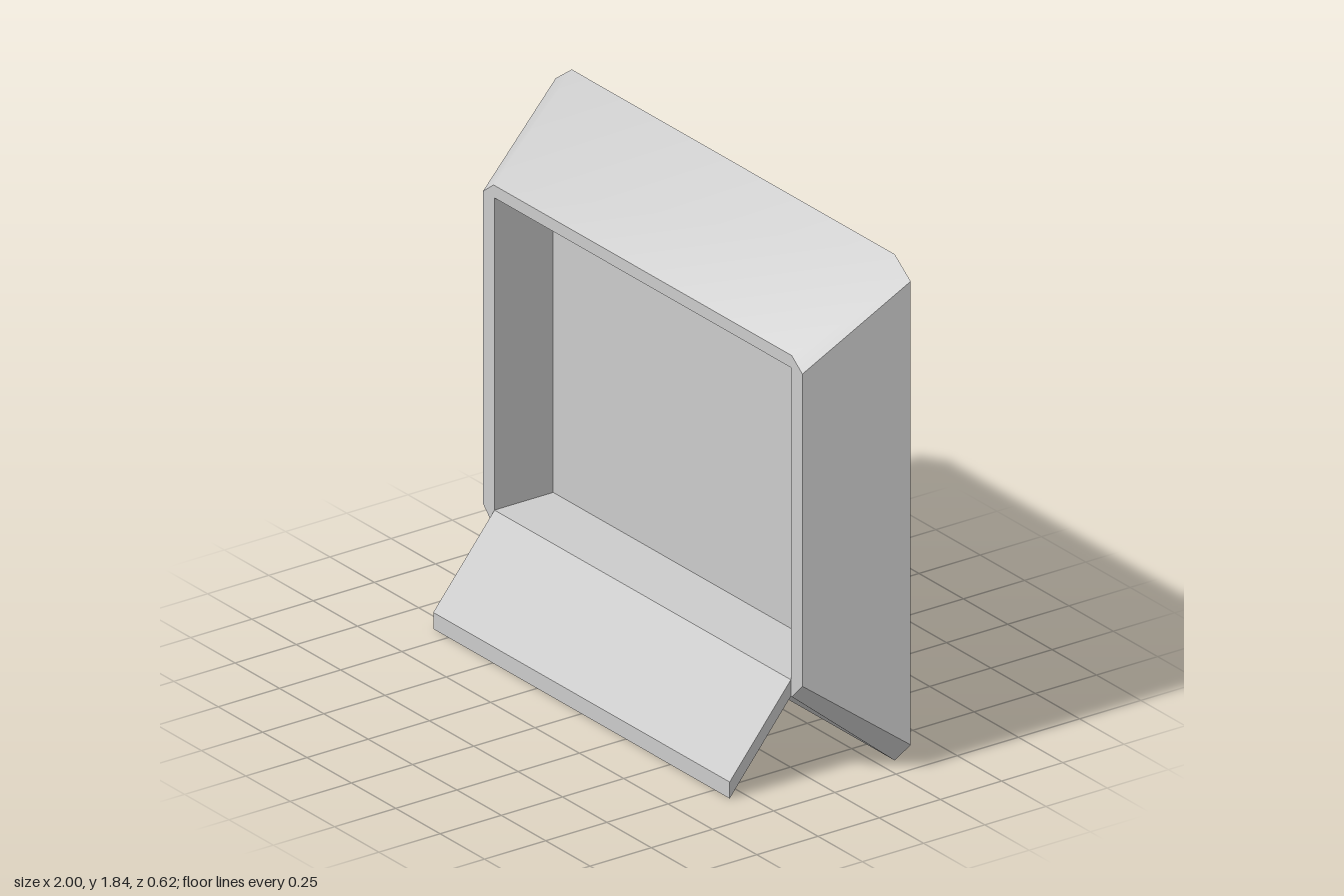
import * as THREE from 'three';
import { toCreasedNormals } from 'three/addons/utils/BufferGeometryUtils.js';

const material = new THREE.MeshStandardMaterial({ color: 0xcccccc, side: THREE.DoubleSide });

const BACK = -0.31, FRONT = 0.06, RECESS = -0.18;
const HOLE_X = 0.835, HOLE_BOTTOM = 0.365, HOLE_TOP = 1.5;

// Eight-cornered outline, counter-clockwise from the front
function outline(wide, narrow, bottom, low, high, top) {
  return [
    [narrow, bottom], [wide, low], [wide, high], [narrow, top],
    [-narrow, top], [-wide, high], [-wide, low], [-narrow, bottom],
  ];
}

// Wall of quads joining two outlines at different depths
function wall(a, za, b, zb) {
  const positions = [];
  a.forEach((_, i) => {
    const j = (i + 1) % a.length;
    const p = [...a[i], za], q = [...a[j], za], r = [...b[j], zb], s = [...b[i], zb];
    positions.push(...p, ...q, ...r, ...p, ...r, ...s);
  });
  const geometry = new THREE.BufferGeometry();
  geometry.setAttribute('position', new THREE.Float32BufferAttribute(positions, 3));
  return toCreasedNormals(geometry, 0.6);
}

const toPoints = (loop) => loop.map(([x, y]) => new THREE.Vector2(x, y));

export function createModel() {
  const model = new THREE.Group();
  model.name = 'flaredWallHood';
  const add = (name, geometry) => {
    const mesh = new THREE.Mesh(geometry, material);
    mesh.name = name;
    model.add(mesh);
    return mesh;
  };

  const backLoop = outline(1, 0.91, 0, 0.09, 1.775, 1.84);
  const frontLoop = outline(0.9, 0.84, 0.305, 0.365, 1.5, 1.545);
  const holeLoop = [
    [HOLE_X, HOLE_BOTTOM], [HOLE_X, HOLE_TOP], [-HOLE_X, HOLE_TOP], [-HOLE_X, HOLE_BOTTOM],
  ];

  // Flared outer shell, open at the back
  add('outerShell', wall(backLoop, BACK, frontLoop, FRONT));

  // Thin flat rim around the opening
  const rim = new THREE.Shape(toPoints(frontLoop));
  rim.holes.push(new THREE.Path(toPoints(holeLoop)));
  add('frontRim', new THREE.ShapeGeometry(rim)).position.z = FRONT;

  // Rectangular recess: side walls and back panel
  add('recessWalls', wall(holeLoop, RECESS, holeLoop, FRONT));
  const panel = new THREE.PlaneGeometry(HOLE_X * 2, HOLE_TOP - HOLE_BOTTOM);
  add('recessPanel', panel).position.set(0, (HOLE_TOP + HOLE_BOTTOM) / 2, RECESS);

  // Sloping flap in front: a box sheared downwards as it comes forward
  const flap = new THREE.BoxGeometry(HOLE_X * 2, 0.06, 0.25);
  flap.translate(0, 0.03, 0.185);
  const p = flap.attributes.position;
  for (let i = 0; i < p.count; i++) {
    p.setY(i, p.getY(i) + 0.305 * (0.31 - p.getZ(i)) / 0.25);
  }
  flap.computeVertexNormals();
  add('frontFlap', flap);

  return model;
}
